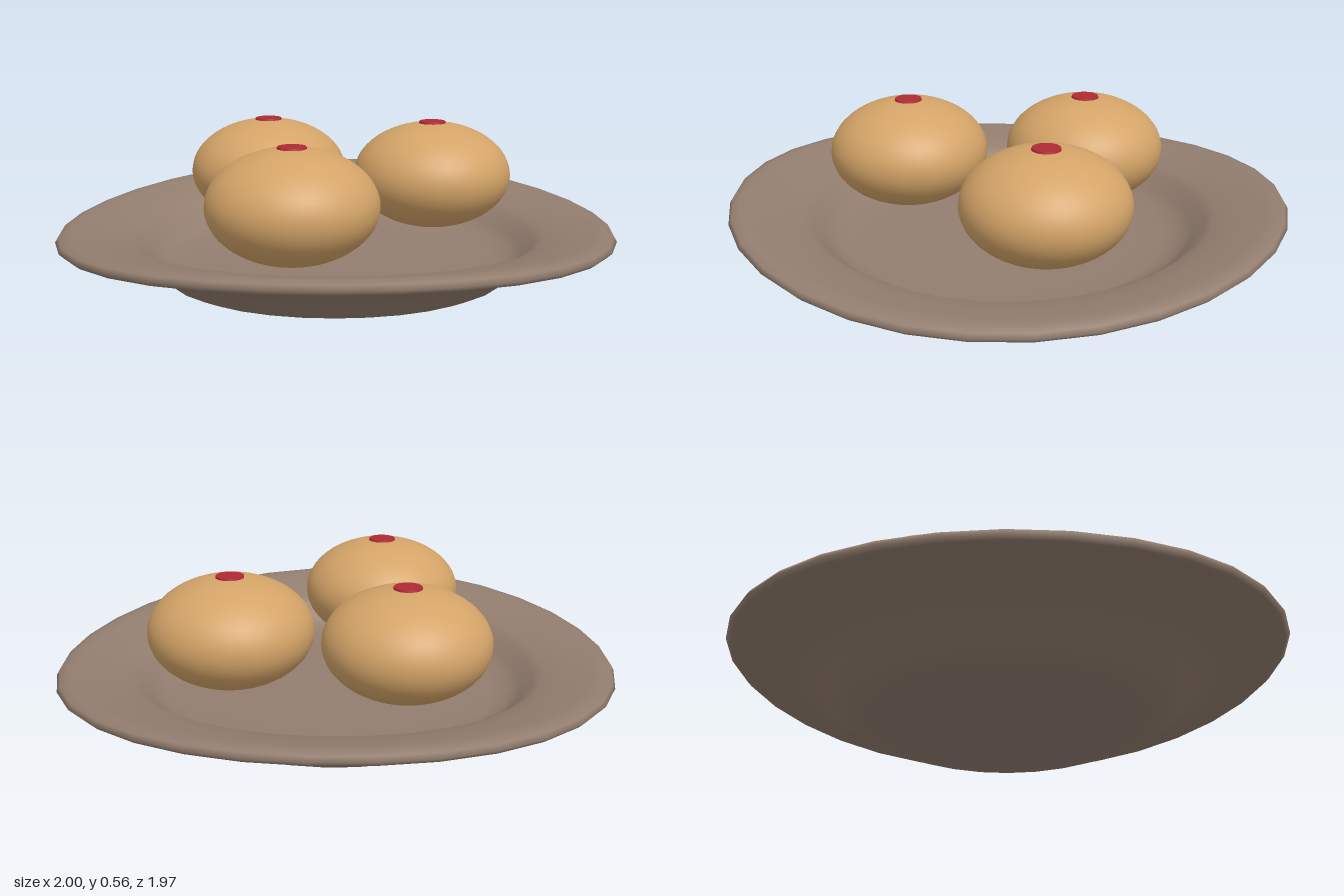
import * as THREE from 'three';
import { mergeVertices } from 'three/addons/utils/BufferGeometryUtils.js';

export function createModel() {
  const group = new THREE.Group();
  const clay = new THREE.MeshStandardMaterial({ name: 'brown clay', color: 0x937e6f });
  const dough = new THREE.MeshStandardMaterial({ name: 'golden dough', color: 0xd4a468 });
  const red = new THREE.MeshStandardMaterial({ name: 'red dot', color: 0xb02a34 });

  // Plate: closed turned profile, underside outwards then inside back to the centre
  const profile = [
    [0, 0.01], [0.3, 0.01], [0.5, 0.012], [0.555, 0.02], [0.61, 0.045], [0.67, 0.095],
    [0.75, 0.14], [0.85, 0.175], [0.94, 0.194], [0.985, 0.205], [1, 0.22],
    [0.99, 0.237], [0.96, 0.245], [0.92, 0.243], [0.82, 0.225], [0.745, 0.205],
    [0.71, 0.185], [0.67, 0.145], [0.63, 0.115], [0.57, 0.1], [0.45, 0.095], [0, 0.095],
  ].map(([r, y]) => new THREE.Vector2(r, y));
  let plateGeo = new THREE.LatheGeometry(profile, 32);

  // Warp the plate slightly into a hand-made saddle
  const pos = plateGeo.attributes.position;
  for (let i = 0; i < pos.count; i++) {
    const x = pos.getX(i), z = pos.getZ(i) * 0.987;
    pos.setXYZ(i, x, pos.getY(i) - 0.065 * x * z, z);
  }
  plateGeo.deleteAttribute('uv');
  plateGeo.deleteAttribute('normal');
  plateGeo = mergeVertices(plateGeo, 1e-4);
  plateGeo.computeVertexNormals();
  const plate = new THREE.Mesh(plateGeo, clay);
  plate.name = 'plate';
  group.add(plate);

  // Three flattened buns, each with a small red dot on top
  const bunGeo = new THREE.SphereGeometry(0.29, 40, 28).scale(1, 0.67, 1);
  const dotGeo = new THREE.CylinderGeometry(0.048, 0.05, 0.008, 24);
  [[0, -0.365], [-0.375, 0.17], [0.37, 0.13]].forEach(([x, z], i) => {
    const bun = new THREE.Group();
    bun.name = 'bun' + (i + 1);
    bun.position.set(x, 0.362, z);
    const body = new THREE.Mesh(bunGeo, dough);
    body.name = 'bunBody';
    const dot = new THREE.Mesh(dotGeo, red);
    dot.name = 'bunDot';
    dot.position.y = 0.194;
    bun.add(body, dot);
    group.add(bun);
  });
  return group;
}
